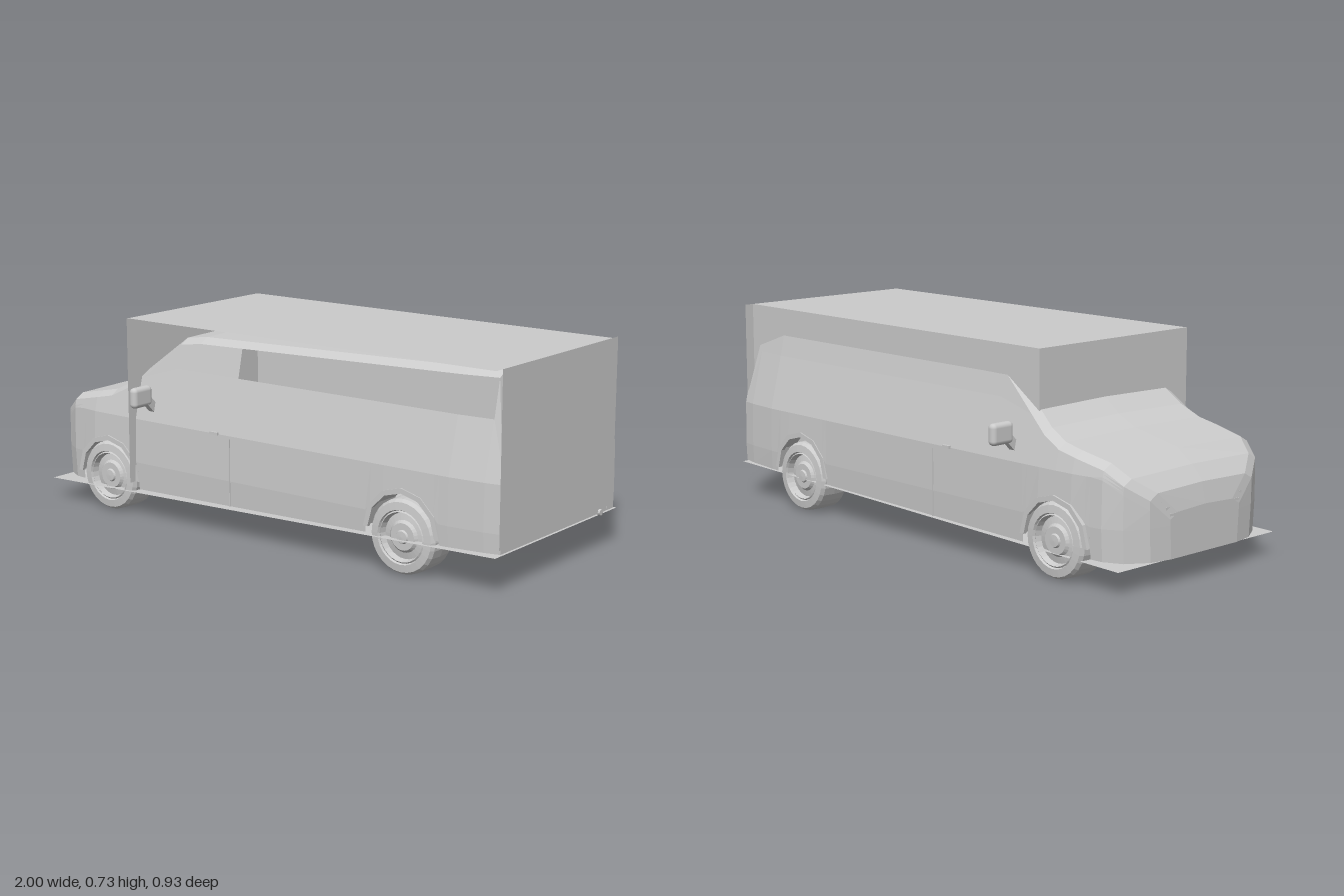
import * as THREE from 'three';
import { RoundedBoxGeometry } from 'three/addons/geometries/RoundedBoxGeometry.js';

const mat = new THREE.MeshStandardMaterial({ color: 0xcccccc, flatShading: true, side: THREE.DoubleSide });
const smooth = new THREE.MeshStandardMaterial({ color: 0xcccccc, side: THREE.DoubleSide });

const WHEELS = [{ x: -0.69, cy: 0.13 }, { x: 0.62, cy: 0.145 }];
const ARCH_R = 0.145;

function add(parent, name, geometry, x = 0, y = 0, z = 0, material = mat) {
  const mesh = new THREE.Mesh(geometry, material);
  mesh.name = name;
  mesh.position.set(x, y, z);
  parent.add(mesh);
  return mesh;
}

// Piecewise linear lookup in a list of [x, value]
function lookup(points, x) {
  for (let i = 1; i < points.length; i++) {
    const [x0, v0] = points[i - 1], [x1, v1] = points[i];
    if (x <= x1) return v0 + (v1 - v0) * Math.max(0, (x - x0) / (x1 - x0));
  }
  return points[points.length - 1][1];
}

const TOP = [[-1, 0.24], [-0.985, 0.31], [-0.94, 0.36], [-0.88, 0.405], [-0.69, 0.445], [-0.65, 0.455],
  [-0.39, 0.66], [-0.3, 0.672], [0.93, 0.703], [0.98, 0.43], [0.987, 0.42]];
const WIDTH = [[-1, 0.17], [-0.985, 0.25], [-0.94, 0.325], [-0.88, 0.36], [-0.75, 0.377], [-0.5, 0.38],
  [0.8, 0.38], [0.93, 0.37], [0.987, 0.36]];
const LEAN = [[0, 0.015], [0.15, 0.004], [0.25, 0], [0.36, 0.005], [0.6, 0.065], [0.7, 0.085]];
const sill = x => 0.09 + 0.022 * (x + 1);

// Half cross-section of the shell at x, from the sill up to the roof centre
function halfSection(x, y0) {
  const top = lookup(TOP, x), w = lookup(WIDTH, x);
  const side = [y0, Math.max(0.2, y0 + 0.005), Math.min(0.36, top - 0.05), Math.min(0.46, top - 0.04),
    Math.min(0.555, top - 0.03), top - 0.02];
  for (let i = 1; i < side.length; i++) side[i] = Math.max(side[i], side[i - 1]);
  const pts = side.map(y => [y, w - lookup(LEAN, y)]);
  pts.push([top, pts[5][1] - 0.035], [top + 0.006, 0]);
  return pts;
}

// Shell lofted along x; the sill rises over the wheel arches
function bodyGeometry() {
  const stations = [-1, -0.985, -0.94, -0.88, -0.65, -0.39, -0.3, -0.11, 0.2, 0.8, 0.93, 0.98, 0.987]
    .map(x => [x, sill(x)]);
  for (const { x, cy } of WHEELS) {
    for (let i = stations.length - 1; i >= 0; i--) {
      if (Math.abs(stations[i][0] - x) < ARCH_R) stations.splice(i, 1);
    }
    const arch = [[x - ARCH_R, sill(x - ARCH_R)]];
    for (let k = 0; k <= 6; k++) {
      const a = Math.PI * (1 - k / 6);
      arch.push([x + ARCH_R * Math.cos(a), cy + ARCH_R * Math.sin(a)]);
    }
    arch.push([x + ARCH_R, sill(x + ARCH_R)]);
    const at = stations.findIndex(s => s[0] > x);
    stations.splice(at, 0, ...arch);
  }
  const rings = stations.map(([x, y0]) => {
    const half = halfSection(x, y0);
    const mirrored = half.slice(0, -1).reverse().map(([y, z]) => [y, -z]);
    return [...half, ...mirrored].map(([y, z]) => [x, y, z]);
  });
  // Nose and tail close onto the centre line
  const flat = ring => ring.map(([x, y]) => [x, y, 0]);
  rings.unshift(flat(rings[0]));
  rings.push(flat(rings[rings.length - 1]));

  const pos = [];
  for (let i = 0; i < rings.length - 1; i++) {
    for (let j = 0; j < rings[0].length - 1; j++) {
      const a = rings[i][j], b = rings[i + 1][j], c = rings[i + 1][j + 1], d = rings[i][j + 1];
      // Open load bay window on the +z side
      if (j === 4 && a[0] > -0.12 && b[0] < 0.94) continue;
      pos.push(...a, ...b, ...c, ...a, ...c, ...d);
    }
  }
  const g = new THREE.BufferGeometry();
  g.setAttribute('position', new THREE.Float32BufferAttribute(pos, 3));
  g.computeVertexNormals();
  return g;
}

// Flat four-cornered sheet
function sheet(a, b, c, d) {
  const g = new THREE.BufferGeometry();
  g.setAttribute('position', new THREE.Float32BufferAttribute([...a, ...b, ...c, ...a, ...c, ...d], 3));
  g.computeVertexNormals();
  return g;
}

// Wheel facing +z, with tyre, dished rim and hub
function makeWheel() {
  const wheel = new THREE.Group();
  const lathe = pts => new THREE.LatheGeometry(pts.map(p => new THREE.Vector2(...p)), 28).rotateX(Math.PI / 2);
  add(wheel, 'tyre', lathe([[0.085, -0.06], [0.117, -0.06], [0.127, -0.05], [0.129, 0], [0.127, 0.045],
    [0.118, 0.058], [0.092, 0.061], [0.088, 0.052]]));
  add(wheel, 'rim', lathe([[0.09, 0.052], [0.084, 0.057], [0.078, 0.035], [0.055, 0.04], [0.046, 0.05],
    [0.024, 0.05], [0.02, 0.056], [0, 0.057]]));
  add(wheel, 'wheelBack', new THREE.CircleGeometry(0.086, 28), 0, 0, -0.055);
  return wheel;
}

// Arch lip and inner liner for one wheel, facing +z
function makeArch() {
  const arch = new THREE.Group();
  const shape = new THREE.Shape();
  const ring = (r, k) => [r * Math.cos(Math.PI * k / 6), r * Math.sin(Math.PI * k / 6)];
  for (let k = 0; k <= 6; k++) shape[k ? 'lineTo' : 'moveTo'](...ring(ARCH_R + 0.006, k));
  for (let k = 6; k >= 0; k--) shape.lineTo(...ring(ARCH_R - 0.012, k));
  add(arch, 'archLip', new THREE.ExtrudeGeometry(shape, { depth: 0.014, bevelEnabled: false }), 0, 0, -0.01);
  const liner = new THREE.CylinderGeometry(ARCH_R, ARCH_R, 0.14, 6, 1, true, Math.PI / 2, Math.PI);
  add(arch, 'archLiner', liner.rotateX(Math.PI / 2), 0, 0, -0.075);
  return arch;
}

export function createModel() {
  const van = new THREE.Group();
  van.name = 'van';
  add(van, 'bodyShell', bodyGeometry());

  // Sheets of the cargo box and the floor
  const x0 = -0.555, x1 = 0.99, top = 0.73;
  add(van, 'boxRoof', sheet([x0, top, 0.405], [x1, top, 0.405], [x1, top, -0.31], [x0, top, -0.31]));
  add(van, 'boxSideWall', sheet([x1, 0.14, -0.31], [x0, 0.12, -0.31], [x0, top, -0.31], [x1, top, -0.31]));
  add(van, 'bulkhead', sheet([x0, 0.13, -0.31], [x0, 0.13, 0.41], [x0, top, 0.41], [x0, top, -0.31]));
  add(van, 'rearWall', sheet([x1, 0.15, 0.367], [x1, 0.15, -0.345], [x1, top, -0.345], [x1, top, 0.367]));
  add(van, 'floor', sheet([-0.97, 0.08, -0.375], [x1, 0.13, -0.375], [x1, 0.13, 0.39], [-0.97, 0.08, 0.39]));

  for (const s of [1, -1]) {
    const side = new THREE.Group();
    side.name = s > 0 ? 'nearSide' : 'farSide';
    for (const { x, cy } of WHEELS) {
      const wheel = makeWheel();
      wheel.name = 'wheel';
      wheel.position.set(x, 0.13, 0.32);
      const arch = makeArch();
      arch.name = 'wheelArch';
      arch.position.set(x, cy, 0.378);
      side.add(wheel, arch);
    }
    // Door mirror on a short arm
    add(side, 'mirrorHead', new RoundedBoxGeometry(0.034, 0.074, 0.094, 3, 0.016), -0.487, 0.457, 0.418, smooth);
    const arm = add(side, 'mirrorArm', new THREE.BoxGeometry(0.024, 0.03, 0.07), -0.485, 0.418, 0.367);
    arm.rotation.x = -0.8;
    // Door handle and shut line
    add(side, 'doorHandle', new THREE.BoxGeometry(0.035, 0.01, 0.012), -0.18, 0.362, 0.377);
    add(side, 'doorSeam', new THREE.BoxGeometry(0.004, 0.24, 0.004), -0.11, 0.23, 0.379);
    side.scale.z = s;
    van.add(side);
  }

  // Grille slats stepping back with the nose
  for (let i = 0; i < 4; i++) {
    add(van, 'grilleSlat', new THREE.BoxGeometry(0.016, 0.008, 0.34 + i * 0.03), -0.992 + i * 0.005, 0.235 + i * 0.021, 0);
  }
  add(van, 'exhaust', new THREE.CylinderGeometry(0.011, 0.011, 0.06, 12).rotateZ(Math.PI / 2), 0.965, 0.138, -0.262);
  return van;
}
